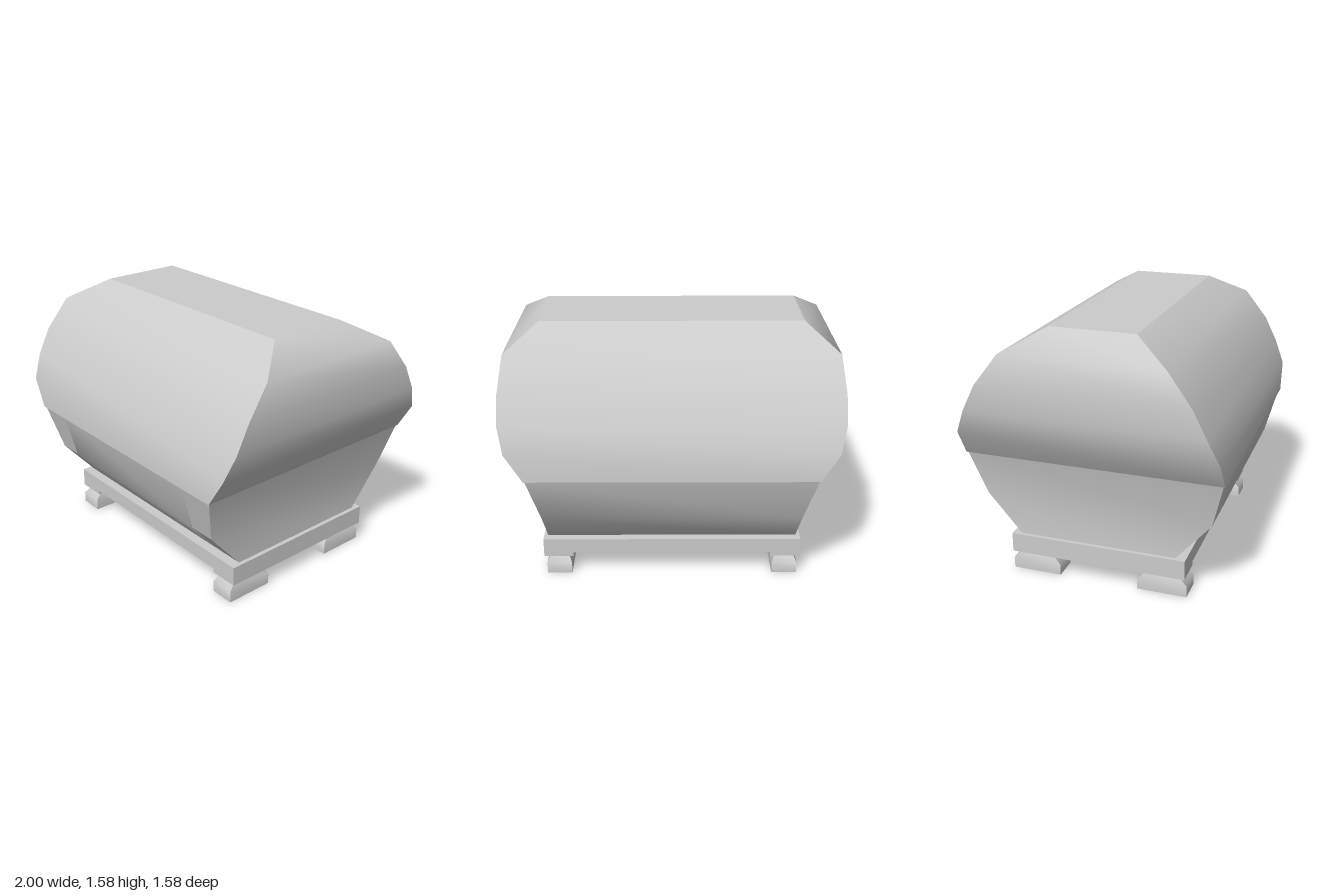
import * as THREE from 'three';
import { mergeGeometries } from 'three/addons/utils/BufferGeometryUtils.js';

const material = new THREE.MeshStandardMaterial({ color: 0xcccccc });

// Surface between a left and a right edge, both listed from top to bottom.
function strip(left, right, flat = false) {
  const points = left.flatMap((p, i) => [...p, ...right[i]]);
  const index = [];
  for (let i = 0; i < left.length - 1; i++) {
    const a = i * 2;
    index.push(a, a + 2, a + 3, a, a + 3, a + 1);
  }
  let geometry = new THREE.BufferGeometry();
  geometry.setAttribute('position', new THREE.Float32BufferAttribute(points, 3));
  geometry.setIndex(index);
  if (flat) geometry = geometry.toNonIndexed();
  geometry.computeVertexNormals();
  return geometry.index ? geometry.toNonIndexed() : geometry;
}

// Closed four-sided solid through rectangles [y, halfX, halfZ], listed from top to bottom.
// Each side is smooth, with sharp corners; frontPanel is the half width of
// a smooth centre panel with faceted ends on the front.
function loft(rings, frontPanel) {
  const signs = [[-1, 1], [1, 1], [1, -1], [-1, -1]];
  const edges = signs.map(([sx, sz]) => rings.map(([y, x, z]) => [sx * x, y, sz * z]));
  const parts = [];
  for (let k = 0; k < 4; k++) {
    const left = edges[k], right = edges[(k + 1) % 4];
    if (k === 0 && frontPanel) {
      const at = x => left.map(([, y, z]) => [x, y, z]);
      const inL = at(-frontPanel), inR = at(frontPanel);
      parts.push(strip(left, inL, true), strip(inL, inR), strip(inR, right, true));
    } else parts.push(strip(left, right));
  }
  const top = edges.map(e => e[0]);
  const bottom = edges.map(e => e[e.length - 1]);
  parts.push(strip([top[3], top[0]], [top[2], top[1]]));
  parts.push(strip([bottom[0], bottom[3]], [bottom[1], bottom[2]]));
  return mergeGeometries(parts);
}

export function createModel() {
  const model = new THREE.Group();
  model.name = 'chest';
  const add = (name, geometry, x = 0, y = 0, z = 0) => {
    const mesh = new THREE.Mesh(geometry, material);
    mesh.name = name;
    mesh.position.set(x, y, z);
    model.add(mesh);
  };

  // Domed lid, overhanging the body slightly
  add('lid', loft([
    [1.58, 0.79, 0.26], [1.45, 0.98, 0.49], [1.26, 1.0, 0.635],
    [1.10, 1.0, 0.715], [0.95, 0.965, 0.78], [0.78, 0.86, 0.79],
  ]));

  // Tapered lower body
  add('body', loft([[0.78, 0.855, 0.78], [0.49, 0.78, 0.705], [0.243, 0.78, 0.49]], 0.615));

  // Base: a plate with thicker runners at both ends
  const base = new THREE.Shape();
  [[-0.805, 0.123], [-0.62, 0.123], [-0.62, 0.15], [0.62, 0.15], [0.62, 0.123],
    [0.805, 0.123], [0.805, 0.245], [-0.805, 0.245]]
    .forEach(([x, y], i) => (i ? base.lineTo(x, y) : base.moveTo(x, y)));
  add('base', new THREE.ExtrudeGeometry(base, { depth: 1.1, bevelEnabled: false }), 0, 0, -0.545);

  // Four bevelled feet
  const foot = loft([[0.125, 0.05, 0.09], [0.07, 0.078, 0.154], [0, 0.078, 0.154]]);
  for (const side of [-1, 1]) {
    add('frontFoot', foot, side * 0.711, 0, 0.412);
    add('backFoot', foot, side * 0.711, 0, -0.392);
  }
  return model;
}
